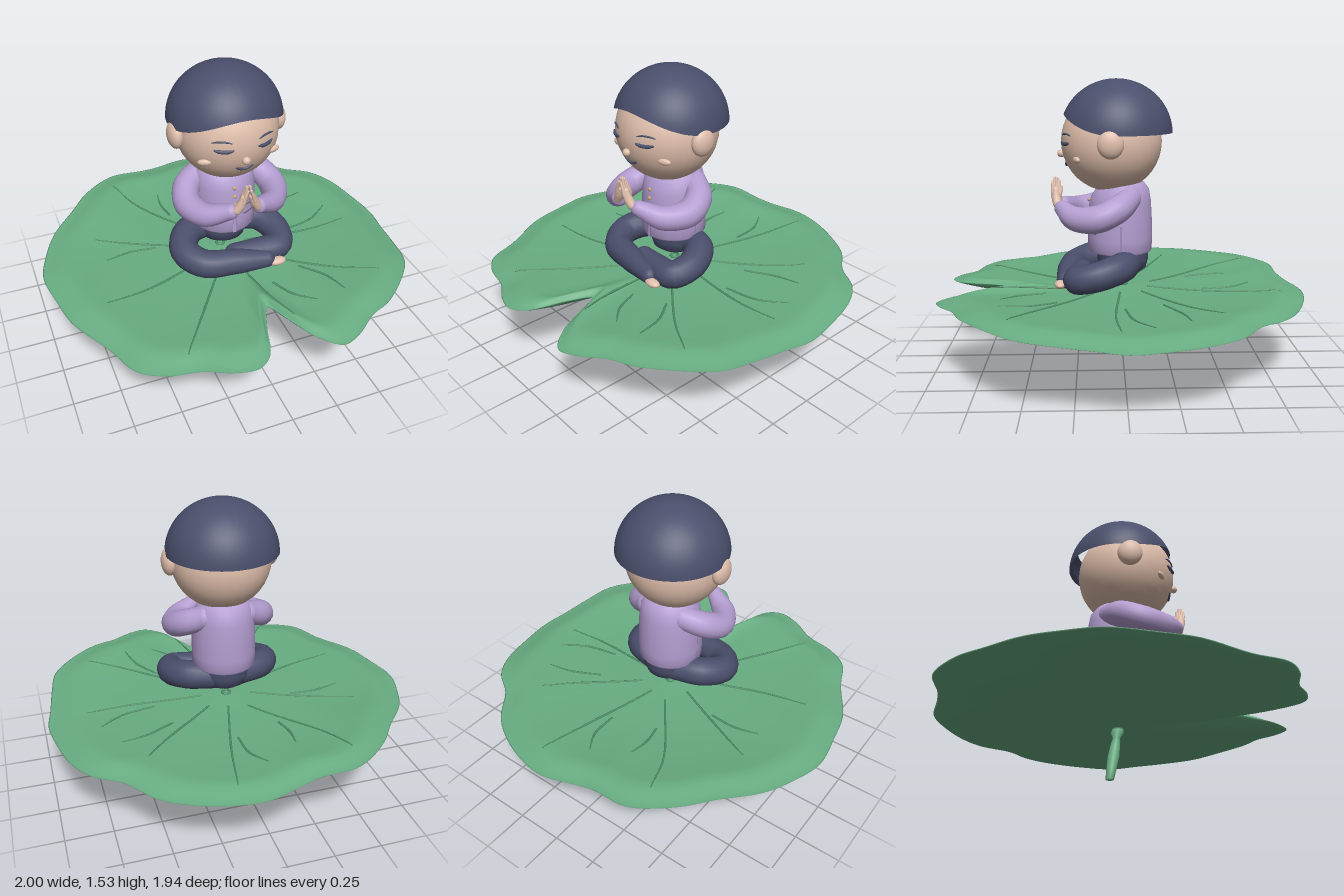
import * as THREE from 'three';
import { mergeGeometries, mergeVertices, toCreasedNormals } from 'three/addons/utils/BufferGeometryUtils.js';
import { ParametricGeometry } from 'three/addons/geometries/ParametricGeometry.js';

const material = (name, color, side = THREE.FrontSide) => {
  const m = new THREE.MeshStandardMaterial({ color, side });
  m.name = name;
  return m;
};
const V = (x, y, z) => new THREE.Vector3(x, y, z);
const CX = 0.01; // the figure sits slightly off centre

// Leaf rim: x, lift, z, running from the back over the right side to the front
const RIM = [
  [0.09, 0.005, -0.97], [-0.1, 0.015, -0.92], [-0.2, 0.025, -0.9], [-0.4, 0.035, -0.89], [-0.6, 0.04, -0.75],
  [-0.72, 0.035, -0.6], [-0.87, 0.02, -0.42], [-0.95, 0.01, -0.25], [-1, 0.005, -0.07], [-0.97, 0, 0.15],
  [-0.93, -0.005, 0.33], [-0.8, -0.015, 0.57], [-0.72, -0.015, 0.75], [-0.6, -0.015, 0.83], [-0.43, -0.01, 0.87],
  [-0.3, 0, 0.94], [-0.18, 0.005, 0.965], [-0.1, 0.01, 0.91], [-0.03, 0.015, 0.72], [0.03, 0.015, 0.6],
  [0.09, 0.015, 0.72], [0.17, 0.01, 0.88], [0.27, 0.005, 0.97], [0.37, 0.01, 0.94], [0.5, 0.02, 0.85],
  [0.62, 0.025, 0.8], [0.78, 0.025, 0.67], [0.9, 0.015, 0.52], [0.94, 0, 0.35], [0.97, -0.015, 0.15],
  [0.995, -0.025, 0], [0.97, -0.02, -0.2], [0.92, -0.01, -0.4], [0.84, -0.005, -0.53], [0.7, -0.005, -0.63],
  [0.58, -0.01, -0.78], [0.45, -0.01, -0.87], [0.25, 0, -0.95],
];
const rimCurve = new THREE.CatmullRomCurve3(RIM.map((p) => V(...p)), true);
const rimSamples = rimCurve.getPoints(400);

// Nearly flat upper face with a soft crest before the rim; bowl-shaped underside
function leafTop(t, lift) {
  return 0.41 - 0.09 * t + (0.115 + lift) * t * t - 0.05 * THREE.MathUtils.smoothstep(t, 0.84, 1.02);
}
function leafBottom(t, lift) {
  return 0.308 + 0.0787 * t ** 1.7 + lift * t * t - 0.01 * Math.sqrt(Math.max(0, 1 - t ** 10));
}
// Height of the leaf's upper face at any x, z
function leafHeight(x, z) {
  const r = Math.hypot(x, z);
  let best = rimSamples[0], bestDot = -2;
  for (const p of rimSamples) {
    const dot = (p.x * x + p.z * z) / Math.hypot(p.x, p.z) / r;
    if (dot > bestDot) { bestDot = dot; best = p; }
  }
  return leafTop(r / Math.hypot(best.x, best.z), best.y);
}
// Weld seams, then smooth the normals
function smooth(g, crease) {
  g.deleteAttribute('uv');
  g.deleteAttribute('normal');
  const w = mergeVertices(g, 1e-5);
  w.computeVertexNormals();
  return crease ? toCreasedNormals(w, crease) : w;
}
// Move every vertex by a rule
function bend(g, rule) {
  const pos = g.attributes.position, v = V(0, 0, 0);
  for (let i = 0; i < pos.count; i++) {
    rule(v.fromBufferAttribute(pos, i));
    pos.setXYZ(i, v.x, v.y, v.z);
  }
  return g;
}
// Round tube with a varying radius and rounded ends
function limb(points, radii, segments = 32, sides = 16) {
  const curve = new THREE.CatmullRomCurve3(points.map((p) => V(...p)));
  const g = new THREE.TubeGeometry(curve, segments, 1, sides);
  const pos = g.attributes.position, v = V(0, 0, 0);
  for (let i = 0; i <= segments; i++) {
    const c = curve.getPointAt(i / segments);
    const f = (i / segments) * (radii.length - 1), k = Math.min(Math.floor(f), radii.length - 2);
    const r = THREE.MathUtils.lerp(radii[k], radii[k + 1], f - k);
    for (let j = 0; j <= sides; j++) {
      const n = i * (sides + 1) + j;
      v.fromBufferAttribute(pos, n).sub(c).multiplyScalar(r).add(c);
      pos.setXYZ(n, v.x, v.y, v.z);
    }
  }
  const ends = [0, 1].map((t) => {
    const c = curve.getPoint(t);
    return new THREE.SphereGeometry(radii[t ? radii.length - 1 : 0], sides, 10).translate(c.x, c.y, c.z);
  });
  return mergeGeometries([g, ...ends]);
}
const ellipsoid = (rx, ry, rz, x, y, z) => new THREE.SphereGeometry(1, 32, 20).scale(rx, ry, rz).translate(x, y, z);
const lathe = (profile, x, z) =>
  new THREE.LatheGeometry(profile.map((p) => new THREE.Vector2(...p)), 48).translate(x, 0, z);

export function createModel() {
  const model = new THREE.Group();
  const green = material('leaf green', 0x68ad82);
  const veinGreen = material('vein green', 0x4f8f68);
  const skin = material('skin', 0xe0bfac);
  const navy = material('navy', 0x4a4f6c);
  const purple = material('shirt purple', 0xb39dd0);
  const seam = material('seam purple', 0x8a76a8, THREE.DoubleSide);
  const gold = material('button gold', 0xc9a878);
  const add = (name, geometry, mat, parent = model) => {
    const m = new THREE.Mesh(geometry, mat);
    m.name = name;
    parent.add(m);
  };

  // Leaf: upper face out to the rim, then the underside back to the middle
  add('leaf', smooth(new ParametricGeometry((u, v, out) => {
    const p = rimCurve.getPoint((1 - u) % 1);
    const s = v < 0.5 ? v * 2 : (1 - v) * 2, t = 1 - (1 - s) ** 1.6;
    out.set(p.x * t, (v <= 0.5 ? leafTop : leafBottom)(t, p.y), p.z * t);
  }, 190, 48)), green);

  // Veins: start, middle and end in x, z
  const veins = [
    [-0.43, -0.74, -0.35, -0.53, -0.08, -0.16], [0.2, -0.84, 0.14, -0.55, 0.03, -0.14],
    [0, -0.7, 0.06, -0.59, 0.07, -0.44], [-0.19, -0.59, -0.2, -0.48, -0.18, -0.37],
    [0.55, -0.48, 0.42, -0.34, 0.13, -0.1], [0.65, -0.31, 0.52, -0.28, 0.36, -0.2],
    [0.73, -0.13, 0.6, -0.04, 0.42, 0], [0.78, 0.03, 0.55, 0.05, 0.15, 0.02],
    [-0.66, -0.27, -0.45, -0.17, -0.14, -0.03], [-0.64, -0.08, -0.5, -0.11, -0.36, -0.1],
    [-0.73, 0.27, -0.5, 0.23, -0.14, 0.1], [-0.46, 0.76, -0.32, 0.55, -0.07, 0.18],
    [0.12, 0.71, 0.07, 0.52, 0.03, 0.2], [0.29, 0.64, 0.2, 0.55, 0.14, 0.42],
    [0.46, 0.63, 0.42, 0.48, 0.33, 0.35], [0.7, 0.56, 0.5, 0.44, 0.13, 0.14],
  ];
  const veinGroup = new THREE.Group();
  veinGroup.name = 'veins';
  model.add(veinGroup);
  for (const [a, b, c, d, e, f] of veins) {
    const path = new THREE.CatmullRomCurve3([V(a, 0, b), V(c, 0, d), V(e, 0, f)]).getPoints(14);
    add('vein', limb(path.map((p) => [p.x, leafHeight(p.x, p.z) + 0.001, p.z]), [0.003, 0.007, 0.006], 24, 6),
      veinGreen, veinGroup);
  }

  // Stem: turned profile, sheared so that it leans, with a small boss above the leaf
  const stem = lathe([[0, 0], [0.021, 0.001], [0.025, 0.05], [0.03, 0.13], [0.025, 0.2], [0.02, 0.24], [0.036, 0.27],
    [0.03, 0.285], [0.03, 0.298], [0.06, 0.308], [0.05, 0.32]], 0, 0);
  add('stem', smooth(bend(stem, (v) => {
    v.x += 0.3 * v.y - 0.08;
    v.z += 0.15 * v.y - 0.032;
  })), green);
  add('stemBoss', new THREE.TorusGeometry(0.022, 0.007, 8, 24).rotateX(Math.PI / 2).translate(0, 0.411, 0), veinGreen);

  // Trousers and crossed legs
  add('hips', lathe([[0, 0.48], [0.09, 0.485], [0.125, 0.51], [0.14, 0.56], [0.14, 0.63]], CX, 0), navy);
  add('rightLeg', limb([[-0.06, 0.55, -0.03], [-0.2, 0.55, 0.02], [-0.26, 0.52, 0.14], [-0.19, 0.495, 0.25],
    [-0.02, 0.49, 0.29], [0.15, 0.475, 0.31]], [0.075, 0.08, 0.078, 0.075, 0.068, 0.047]), navy);
  add('leftLeg', limb([[0.08, 0.55, -0.03], [0.22, 0.55, 0.02], [0.28, 0.52, 0.14], [0.25, 0.495, 0.24],
    [0.14, 0.49, 0.24], [0, 0.49, 0.22]], [0.075, 0.08, 0.078, 0.075, 0.068, 0.055]), navy);
  add('foot', ellipsoid(0.048, 0.021, 0.03, 0.203, 0.463, 0.335), skin);

  // Shirt, with the neckline sloping down to the front
  const SZ = 0.015;
  const shirt = lathe([[0, 0.605], [0.168, 0.605], [0.174, 0.615], [0.175, 0.68], [0.174, 0.78], [0.168, 0.88],
    [0.157, 0.945], [0.13, 0.98], [0.08, 0.998], [0, 1.005]], CX, SZ);
  add('shirt', smooth(bend(shirt, (v) => {
    v.y -= 0.27 * Math.max(0, v.z - SZ) * THREE.MathUtils.smoothstep(v.y, 0.8, 0.96);
  }), 0.9), purple);
  const plate = (name, angle, width, y, h, mat) => add(name, new THREE.CylinderGeometry(0.178, 0.179, h, 8, 1, true,
    angle - width / 2, width).translate(CX, y, SZ), mat);
  plate('placket', 0, 0.11, 0.67, 0.12, purple);
  for (const s of [-1, 1]) {
    plate('placketSeam', s * 0.06, 0.012, 0.67, 0.12, seam);
    plate('pocketFlap', s * 0.5, 0.4, 0.742, 0.046, purple);
    plate('pocketTopSeam', s * 0.52, 0.34, 0.766, 0.005, navy);
    plate('pocketSeam', s * 0.52, 0.46, 0.716, 0.007, navy);
    plate('sideVent', s * Math.PI / 2, 0.02, 0.69, 0.15, seam);
  }
  for (let i = 0; i < 4; i++) add('button', ellipsoid(0.011, 0.011, 0.008, CX, 0.735 + i * 0.05, SZ + 0.178 - i * 0.003), gold);

  // Sleeves and joined hands
  for (const s of [-1, 1]) {
    const side = s > 0 ? 'left' : 'right';
    const at = (list) => list.map(([x, y, z]) => [CX + s * x, y, z]);
    add(side + 'Sleeve', limb(at([[0.115, 0.905, -0.03], [0.21, 0.865, 0.03], [0.243, 0.82, 0.13], [0.19, 0.812, 0.25],
      [0.08, 0.85, 0.325]]), [0.065, 0.072, 0.073, 0.064, 0.042]), purple);
    const hand = new THREE.Group();
    hand.name = side + 'Hand';
    model.add(hand);
    add('palm', limb(at([[0.055, 0.868, 0.35], [0.035, 0.905, 0.358], [0.022, 0.94, 0.36]]), [0.024, 0.025, 0.019], 12, 12), skin, hand);
    for (let i = 0; i < 4; i++) {
      const z = 0.342 + i * 0.011, top = [0.985, 1.001, 1.003, 0.985][i];
      add('finger', limb(at([[0.03, 0.92, z], [0.018, 0.96, z + 0.002], [0.008, top, z + 0.002]]), [0.011, 0.009, 0.007], 8, 8), skin, hand);
    }
    add('thumb', limb(at([[0.035, 0.9, 0.345], [0.025, 0.93, 0.336], [0.012, 0.955, 0.333]]), [0.011, 0.01, 0.007], 8, 8), skin, hand);
  }

  // Head, ears and hair
  const HY = 1.2, HZ = 0.06, HR = 0.27;
  add('head', ellipsoid(HR, HR, HR, CX, HY, HZ), skin);
  for (const s of [-1, 1]) add('ear', ellipsoid(0.042, 0.075, 0.068, CX + s * 0.278, 1.205, 0.07), skin);
  // Shell whose lower edge arches over the forehead, then turns back up inside
  add('hair', smooth(new ParametricGeometry((u, v, out) => {
    const a = u * Math.PI * 2, front = Math.max(0, Math.sin(a));
    const edge = 0.007 + 0.098 * front ** 2.2, inside = v > 0.85;
    const theta = Math.acos(edge / 0.29) * (inside ? 1 - (v - 0.85) * 2 : v / 0.85);
    const k = inside ? 0.96 : 1, r = k * Math.sin(theta);
    out.set(CX + 0.302 * r * Math.cos(a), 1.24 + 0.29 * k * Math.cos(theta), 0.034 + 0.3 * r * Math.sin(a));
  }, 64, 40), 0.8), navy);

  // Face features laid on the surface of the head
  const faceZ = (x, y) => HZ + Math.sqrt(HR * HR - x * x - (y - HY) ** 2);
  const stroke = (name, cx, cy, half, rise, r) => add(name, limb([-1, -0.5, 0, 0.5, 1].map((k) => {
    const x = cx + k * half, y = cy + rise * k * k;
    return [CX + x, y, faceZ(x, y) + 0.002];
  }), [r * 0.5, r, r, r, r * 0.5], 16, 8), navy);
  for (const s of [-1, 1]) {
    stroke('closedEye', s * 0.11, 1.194, 0.042, 0.006, 0.01);
    stroke('eyebrow', s * 0.117, 1.247, 0.044, -0.008, 0.005);
    add('cheek', ellipsoid(0.036, 0.017, 0.014, 0, 0, 0).rotateY(s * 0.4)
      .translate(CX + s * 0.187, 1.118, faceZ(0.187, 1.118) + 0.007), skin);
  }
  stroke('mouth', 0, 1.073, 0.045, 0.016, 0.007);
  add('nose', ellipsoid(0.022, 0.021, 0.02, CX, 1.135, faceZ(0, 1.135) + 0.008), skin);
  return model;
}
